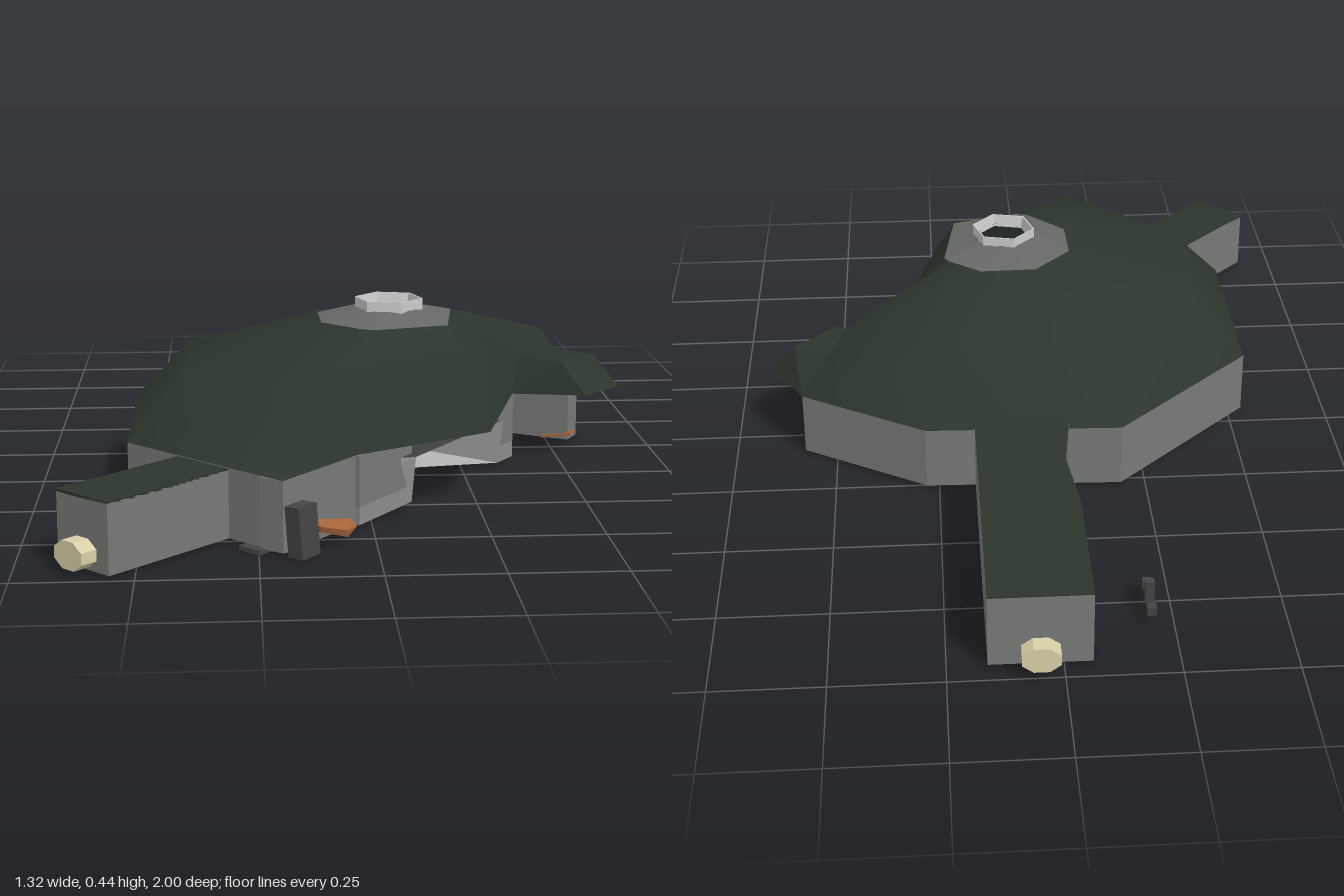
import * as THREE from 'three';
import { ConvexGeometry } from 'three/addons/geometries/ConvexGeometry.js';

const mat = (color, flatShading = true) =>
  new THREE.MeshStandardMaterial({ color, flatShading, side: THREE.DoubleSide });
const roofMat = mat(0x2b362c, false);
const lipMat = mat(0x2b362c);
const wallMat = mat(0x777977);
const darkMat = mat(0x444444);
const greyMat = mat(0xcccccc);
const creamMat = mat(0xd8cfa8);
const clothMat = mat(0xa8663c);

// Ground outline of the hut, as [x, z], clockwise from above
const RIM = [[-0.19, -0.28], [0.28, -0.265], [0.58, -0.085], [0.385, 0.105], [0.28, 0.485],
  [-0.035, 0.67], [-0.2, 0.87], [-0.535, 0.53], [-0.535, 0.05]];
const CENTRE = [0.065, 0.275];
const EAVES = 0.165;

function add(parent, name, geometry, material, x = 0, y = 0, z = 0) {
  const mesh = new THREE.Mesh(geometry, material);
  mesh.name = name;
  mesh.position.set(x, y, z);
  parent.add(mesh);
  return mesh;
}

// The outline shrunk towards the smoke hole, at height y
const ring = (scale, y) => RIM.map(([x, z]) =>
  [CENTRE[0] + (x - CENTRE[0]) * scale, y, CENTRE[1] + (z - CENTRE[1]) * scale]);

// A round ring whose points lie in the directions of the outline
const roundRing = (radius, y) => RIM.map(([x, z]) => {
  const dx = x - CENTRE[0], dz = z - CENTRE[1], d = Math.hypot(dx, dz);
  return [CENTRE[0] + dx / d * radius, y, CENTRE[1] + dz / d * radius];
});

function surface(points, index) {
  const g = new THREE.BufferGeometry();
  g.setAttribute('position', new THREE.Float32BufferAttribute(points.flat(), 3));
  g.setIndex(index);
  g.computeVertexNormals();
  return g;
}

// Skin closed rings, listed from bottom to top
function loft(rings) {
  const n = rings[0].length, index = [];
  for (let r = 0; r < rings.length - 1; r++) {
    for (let i = 0; i < n; i++) {
      const a = r * n + i, b = r * n + (i + 1) % n;
      index.push(b, a, a + n, b, a + n, b + n);
    }
  }
  return surface(rings.flat(), index);
}

// A straight wall whose outer face runs from a to b
function wall(parent, name, a, b, y0, y1, thick = 0.06) {
  const dx = b[0] - a[0], dz = b[1] - a[1], len = Math.hypot(dx, dz);
  const nx = -dz / len, nz = dx / len;
  const m = add(parent, name, new THREE.BoxGeometry(len, y1 - y0, thick), wallMat,
    (a[0] + b[0]) / 2 + nx * thick / 2, (y0 + y1) / 2, (a[1] + b[1]) / 2 + nz * thick / 2);
  m.rotation.y = Math.atan2(-dz, dx);
}

// A covered passage, open underneath, running along its own +z to a lamp
function tunnel(name, width, height, length, dent) {
  const g = new THREE.Group();
  g.name = name;
  const w = width / 2, t = 0.035;
  const section = new THREE.Shape([[-w, 0], [-w, height], [w, height], [w, 0], [w - t, 0],
    [w - t, height - t], [t - w, height - t], [t - w, 0]].map(p => new THREE.Vector2(...p)));
  const geo = new THREE.ExtrudeGeometry(section, { depth: length, steps: 4, bevelEnabled: false });
  const roof = new THREE.BoxGeometry(width, 0.006, length, 1, 1, 4).translate(0, height, length / 2);
  // One flank bows slightly inwards
  for (const { attributes: { position: p } } of [geo, roof]) {
    for (let i = 0; i < p.count; i++) {
      if (p.getX(i) > 0 && Math.abs(p.getZ(i) - length / 4) < 0.01) p.setX(i, p.getX(i) - dent);
    }
  }
  geo.computeVertexNormals();
  add(g, 'tunnelShell', geo, wallMat);
  add(g, 'tunnelRoof', roof, lipMat);
  add(g, 'tunnelEnd', new THREE.BoxGeometry(width - 0.01, height, 0.02), wallMat, 0, height / 2, length - 0.01);
  const lamp = new THREE.CylinderGeometry(0.045, 0.045, 0.06, 8).rotateY(Math.PI / 8).rotateX(Math.PI / 2);
  add(g, 'lamp', lamp, creamMat, 0, 0.036, length + 0.01).scale.y = 0.72;
  return g;
}

export function createModel() {
  const model = new THREE.Group();
  model.name = 'hut';

  // Domed roof with a pale collar around the smoke hole
  add(model, 'roof', loft([ring(1, EAVES), ring(0.78, 0.31), roundRing(0.175, 0.395)]), roofMat);
  add(model, 'roofCollar', loft([roundRing(0.175, 0.395), roundRing(0.075, 0.418)]), mat(0x666866, false));
  const hole = [[0.08, 0.41], [0.08, 0.44], [0.076, 0.44], [0.07, 0.41]];
  const holeRim = add(model, 'smokeHoleRim', new THREE.LatheGeometry(hole.map(p => new THREE.Vector2(...p)), 6),
    greyMat, CENTRE[0], 0, CENTRE[1]);
  holeRim.rotation.y = 0.3;

  // Canopy over the side entrance
  const canopy = [[0.28, 0.165, -0.26], [0.58, 0.165, -0.085], [0.66, 0.168, 0.05], [0.56, 0.168, 0.15],
    [0.385, 0.165, 0.105], [0.6, 0.245, 0.02], [0.5, 0.248, 0.12], [0.38, 0.25, 0.05], [0.47, 0.25, -0.06]];
  add(model, 'canopy', new ConvexGeometry(canopy.map(p => new THREE.Vector3(...p))), lipMat);

  // Outer walls: every side but the entrance and the window bay
  for (let i = 0; i < RIM.length; i++) {
    if (i >= 2 && i <= 4) continue;
    wall(model, 'outerWall', RIM[i], RIM[(i + 1) % RIM.length], 0.01, EAVES);
  }

  // Straight window wall set back under the eaves: two piers and a header
  const bayLeft = [0.385, 0.12], bayRight = [-0.03, 0.68], left = [0.34, 0.18], right = [0.1, 0.505];
  wall(model, 'windowPier', bayLeft, left, 0.05, EAVES, 0.04);
  wall(model, 'windowPier', right, bayRight, 0.05, EAVES, 0.04);
  wall(model, 'windowHeader', left, right, 0.14, EAVES, 0.04);

  // Alcove behind the opening, its ceiling sloping down towards the room
  const innerLeft = [0.08, 0.22], innerRight = [-0.02, 0.36];
  const foot = [right, left, innerLeft, innerRight].map(([x, z]) => [x, 0.01, z]);
  const head = [[0.1, 0.14, 0.6], [0.34, 0.14, 0.27], [0.08, 0.07, 0.22], [-0.02, 0.07, 0.36]];
  add(model, 'alcoveWalls', surface([...foot, ...head],
    [1, 2, 6, 1, 6, 5, 2, 3, 7, 2, 7, 6, 3, 0, 4, 3, 4, 7]), greyMat);
  add(model, 'alcoveCeiling', surface(head, [0, 1, 2, 0, 2, 3]), darkMat);

  // Floor slab, notched around the alcove
  const floor = new THREE.Shape([bayLeft, left, innerLeft, innerRight, right, bayRight, [-0.3, 0.44],
    [-0.36, 0.1], [-0.13, -0.13], [0.2, -0.13]].map(p => new THREE.Vector2(...p)));
  const slab = new THREE.ExtrudeGeometry(floor, { depth: 0.04, bevelEnabled: false });
  add(model, 'floor', slab.rotateX(Math.PI / 2), mat(0x8a8c8a), 0, 0.05, 0);

  // Passages to the back and to the front corner
  const back = tunnel('backTunnel', 0.225, 0.172, 0.69, 0.02);
  back.position.set(0.05, 0.01, -0.27);
  back.rotation.y = Math.PI;
  const front = tunnel('frontTunnel', 0.155, 0.15, 0.34, 0);
  front.position.set(-0.365, 0.01, 0.7);
  front.rotation.y = -Math.PI / 4;
  model.add(back, front);

  // Front doorway: leaning post, threshold and a cloth flap
  const post = add(model, 'doorPost', new THREE.BoxGeometry(0.055, 0.11, 0.04), darkMat, -0.16, 0.06, 0.87);
  post.rotation.set(-0.08, Math.PI / 4, 0.1);
  const step = add(model, 'threshold', new THREE.BoxGeometry(0.2, 0.01, 0.06), darkMat, -0.2, 0.006, 0.76);
  step.rotation.y = Math.PI / 4;
  const flap = [[-0.165, 0.07, 0.83], [-0.12, 0.06, 0.85], [-0.06, 0.03, 0.78], [-0.035, 0.012, 0.69],
    [-0.165, 0.055, 0.82], [-0.12, 0.045, 0.84], [-0.06, 0.012, 0.77], [-0.05, 0.03, 0.69]];
  add(model, 'doorCloth', new ConvexGeometry(flap.map(p => new THREE.Vector3(...p))), clothMat);

  // Cloth scrap by the side entrance and a flat panel on the far wall
  const scrap = add(model, 'entranceCloth', new THREE.BoxGeometry(0.08, 0.006, 0.04), clothMat, 0.53, 0.02, -0.06);
  scrap.rotation.set(0, -0.5, 0.2);
  add(model, 'wallPanel', new THREE.BoxGeometry(0.02, 0.1, 0.2), wallMat, -0.53, 0.07, 0.235);

  // Three small stakes beside the back passage
  [[-0.83, 0.02], [-0.785, 0.055], [-0.735, 0.02]].forEach(([z, h]) =>
    add(model, 'stake', new THREE.BoxGeometry(0.02, h, 0.02), darkMat, -0.2, 0.03 + h / 2, z));

  return model;
}
